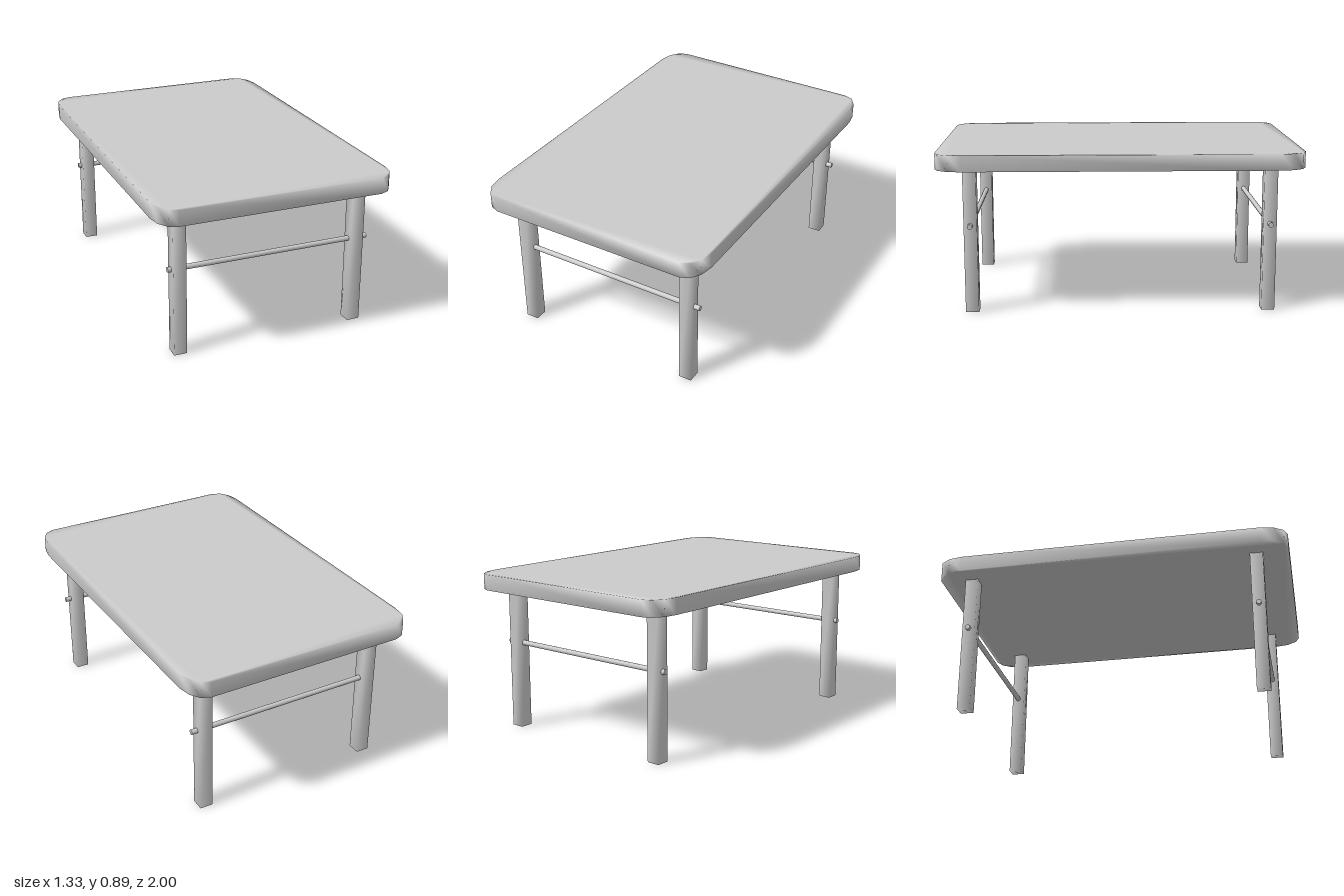
import * as THREE from 'three';
import { mergeVertices } from 'three/addons/utils/BufferGeometryUtils.js';

const TOP = 0.893, UNDER = 0.805;

// Weld corners and share normals for the soft, fully smoothed shading
function soften(geometry) {
  geometry.deleteAttribute('normal');
  geometry.deleteAttribute('uv');
  const welded = mergeVertices(geometry, 1e-4);
  welded.computeVertexNormals();
  return welded;
}

// Outline of the table top: rectangle with elliptical, faceted corners
function topOutline(hx, hz, rx, rz, segments) {
  const points = [];
  const corners = [[1, 1], [-1, 1], [-1, -1], [1, -1]];
  corners.forEach(([sx, sz], q) => {
    for (let i = 0; i <= segments; i++) {
      const a = (q + i / segments) * Math.PI / 2;
      points.push(new THREE.Vector2(
        sx * (hx - rx) + rx * Math.cos(a),
        sz * (hz - rz) + rz * Math.sin(a)));
    }
  });
  return new THREE.Shape(points);
}

export function createModel() {
  const model = new THREE.Group();
  model.name = 'table';
  const material = new THREE.MeshStandardMaterial({ color: 0xcccccc });
  const add = (name, geometry, x, y, z) => {
    const mesh = new THREE.Mesh(geometry, material);
    mesh.name = name;
    mesh.position.set(x, y, z);
    model.add(mesh);
    return mesh;
  };

  // Table top
  const slab = new THREE.ExtrudeGeometry(topOutline(0.667, 1, 0.1, 0.15, 3),
    { depth: TOP - UNDER, bevelEnabled: false });
  slab.rotateX(-Math.PI / 2);
  add('tableTop', soften(slab), 0, UNDER, 0);

  // Flat panel under the top, between the legs
  const panel = new THREE.PlaneGeometry(1.02, 1.64);
  panel.rotateX(Math.PI / 2);
  add('undersidePanel', panel, 0, UNDER - 0.001, 0);

  // Legs and the cross rods that run through each pair
  const leg = soften(new THREE.BoxGeometry(0.073, UNDER, 0.073));
  const rod = new THREE.CylinderGeometry(0.0145, 0.0145, 1.16, 12);
  rod.rotateZ(Math.PI / 2);
  for (const [end, z] of [['front', 0.82], ['back', -0.82]]) {
    add(end + 'LeftLeg', leg, 0.518, UNDER / 2, z);
    add(end + 'RightLeg', leg, -0.514, UNDER / 2, z);
    add(end + 'CrossRod', rod, 0.009, 0.49, z);
  }
  return model;
}
